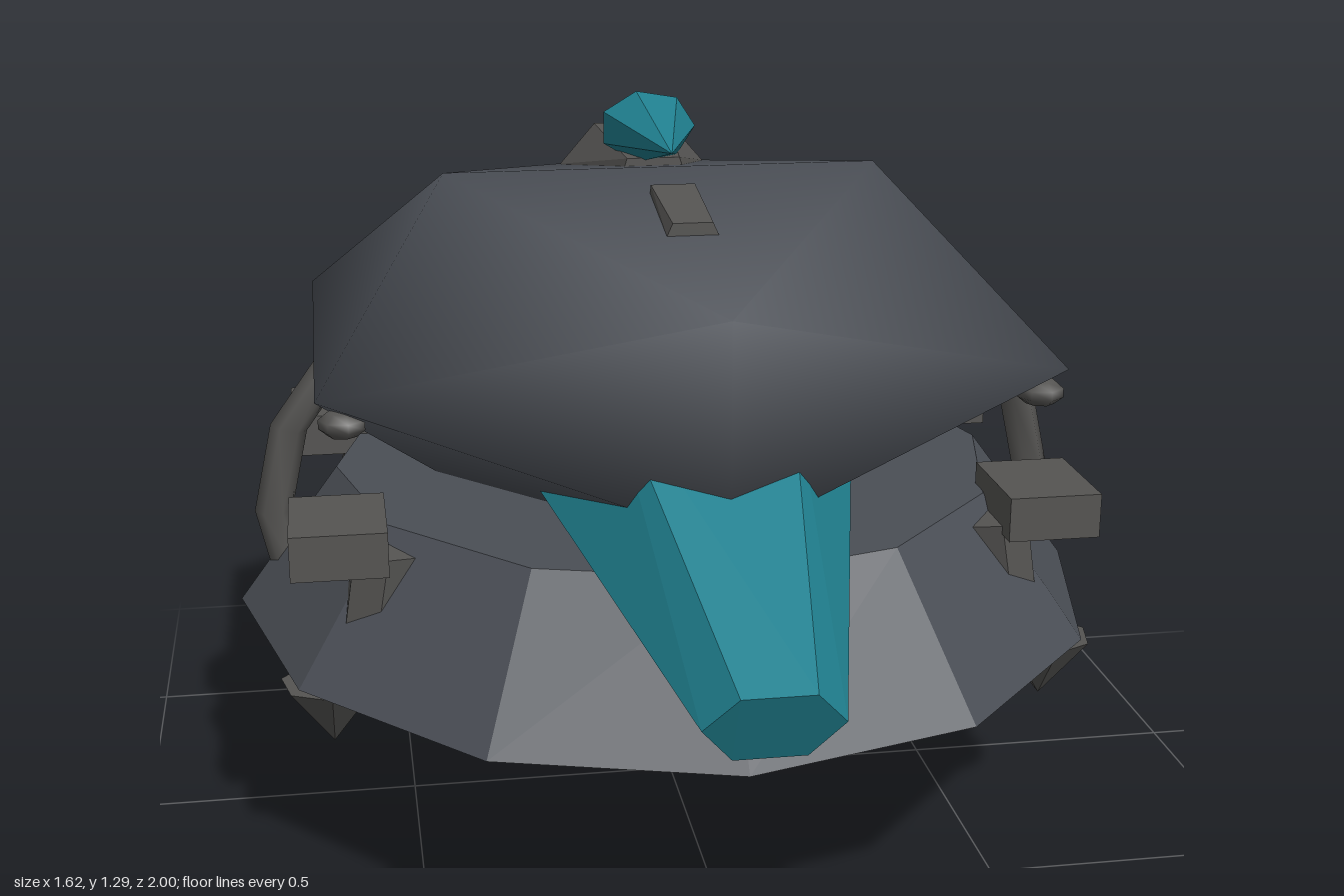
import * as THREE from 'three';
import { mergeVertices } from 'three/addons/utils/BufferGeometryUtils.js';
import { ConvexGeometry } from 'three/addons/geometries/ConvexGeometry.js';

const MID = -0.105; // z of the body axis

const mat = (color, flatShading = true) => new THREE.MeshStandardMaterial({ color, flatShading });
const hullSmooth = mat(0x4a4e55, false);
const hullFlat = mat(0x4a4e55);
const metal = mat(0x555452);
const metalSmooth = mat(0x555452, false);
const teal = mat(0x20808f);

export function createModel() {
  const model = new THREE.Group();

  const add = (name, geometry, material, x = 0, y = 0, z = 0) => {
    const mesh = new THREE.Mesh(geometry, material);
    mesh.name = name;
    mesh.position.set(x, y, z);
    model.add(mesh);
    return mesh;
  };

  // Cylinder or cone running from point a to point b
  const between = (name, a, b, rA, rB, sides, material = metal) => {
    const from = new THREE.Vector3(...a), to = new THREE.Vector3(...b);
    const dir = to.clone().sub(from);
    const mesh = add(name, new THREE.CylinderGeometry(rB, rA, dir.length(), sides), material);
    mesh.position.copy(from).add(to).multiplyScalar(0.5);
    mesh.quaternion.setFromUnitVectors(new THREE.Vector3(0, 1, 0), dir.normalize());
    return mesh;
  };

  // Convex solid from points mirrored across x = 0
  const mirroredSolid = (name, points, material) => {
    const corners = points.flatMap(([x, y, z]) =>
      [new THREE.Vector3(x, y, z), new THREE.Vector3(-x, y, z)]);
    return add(name, new ConvexGeometry(corners), material);
  };

  // Flared twelve-sided base
  const base = add('base', new THREE.CylinderGeometry(0.765, 1, 0.255, 12), hullFlat, 0, 0.4975, MID);
  base.scale.set(0.81, 1, 0.895);

  // Shell: squashed icosahedron with shared, smooth normals
  const ico = new THREE.IcosahedronGeometry(1, 0);
  ico.deleteAttribute('uv');
  ico.deleteAttribute('normal');
  ico.scale(0.764, 0.347, 0.8405);
  const shellGeometry = mergeVertices(ico);
  shellGeometry.computeVertexNormals();
  add('shell', shellGeometry, hullSmooth, 0, 0.88, MID);

  // Tapered six-sided head, sloping down to the front
  mirroredSolid('head', [
    [0.058, 0.6, 1.0], [0.11, 0.54, 0.97], [0.058, 0.475, 0.94],
    [0.16, 0.905, 0.3], [0.315, 0.73, 0.13], [0.16, 0.57, -0.05],
  ], teal);

  // Pointed crest on top
  const coneGeometry = new THREE.ConeGeometry(1, 0.3, 7, 1, false, Math.PI / 2);
  coneGeometry.rotateX(Math.PI / 2);
  const crest = add('crest', coneGeometry, teal, 0, 1.221, -0.13);
  crest.scale.set(0.093, 0.07, 1);

  // Mount under the crest
  mirroredSolid('crestMount', [
    [0.145, 1.115, -0.495], [0.075, 1.195, -0.495],
    [0.07, 1.115, -0.2], [0.05, 1.175, -0.2],
  ], metal);

  // Small plate in front of the crest
  mirroredSolid('topPlate', [
    [0.045, 1.12, 0.245], [0.035, 1.142, 0.245],
    [0.045, 1.13, 0.03], [0.04, 1.168, 0.03],
  ], metal);

  // Box at the rear
  add('rearBox', new THREE.BoxGeometry(0.4, 0.1, 0.19), metal, 0, 0.895, -0.825);

  // Hoop passing under the body
  const hoopGeometry = new THREE.TorusGeometry(0.74, 0.035, 6, 14, Math.PI * 1.4);
  hoopGeometry.rotateZ(-Math.PI * 1.2);
  const hoop = add('hoop', hoopGeometry, metalSmooth, 0, 0.547, -0.1);
  hoop.scale.y = 0.704;

  for (const side of [1, -1]) {
    // Legs: hip block, strut and pointed foot
    for (const z of [0.285, -0.41]) {
      add('hipBlock', new THREE.BoxGeometry(0.165, 0.08, 0.21), metal, side * 0.622, 0.625, z);
      between('legStrut', [side * 0.54, 0.6, z], [side * 0.585, 0.335, z], 0.065, 0.06, 6);
      between('foot', [side * 0.645, 0.36, z], [side * 0.645, 0.245, z], 0.09, 0, 7);
    }

    // Rivets on the shell's flank
    for (const z of [0.32, -0.29]) {
      const rivet = add('rivet', new THREE.SphereGeometry(0.043, 7, 5), metalSmooth, side * 0.605, 0.838, z);
      rivet.scale.y = 0.6;
    }

    // Rear spikes
    between('rearSpike', [side * 0.335, 0.7, -0.44], [side * 0.49, 0.838, -0.868], 0.09, 0, 5);
  }

  return model;
}
